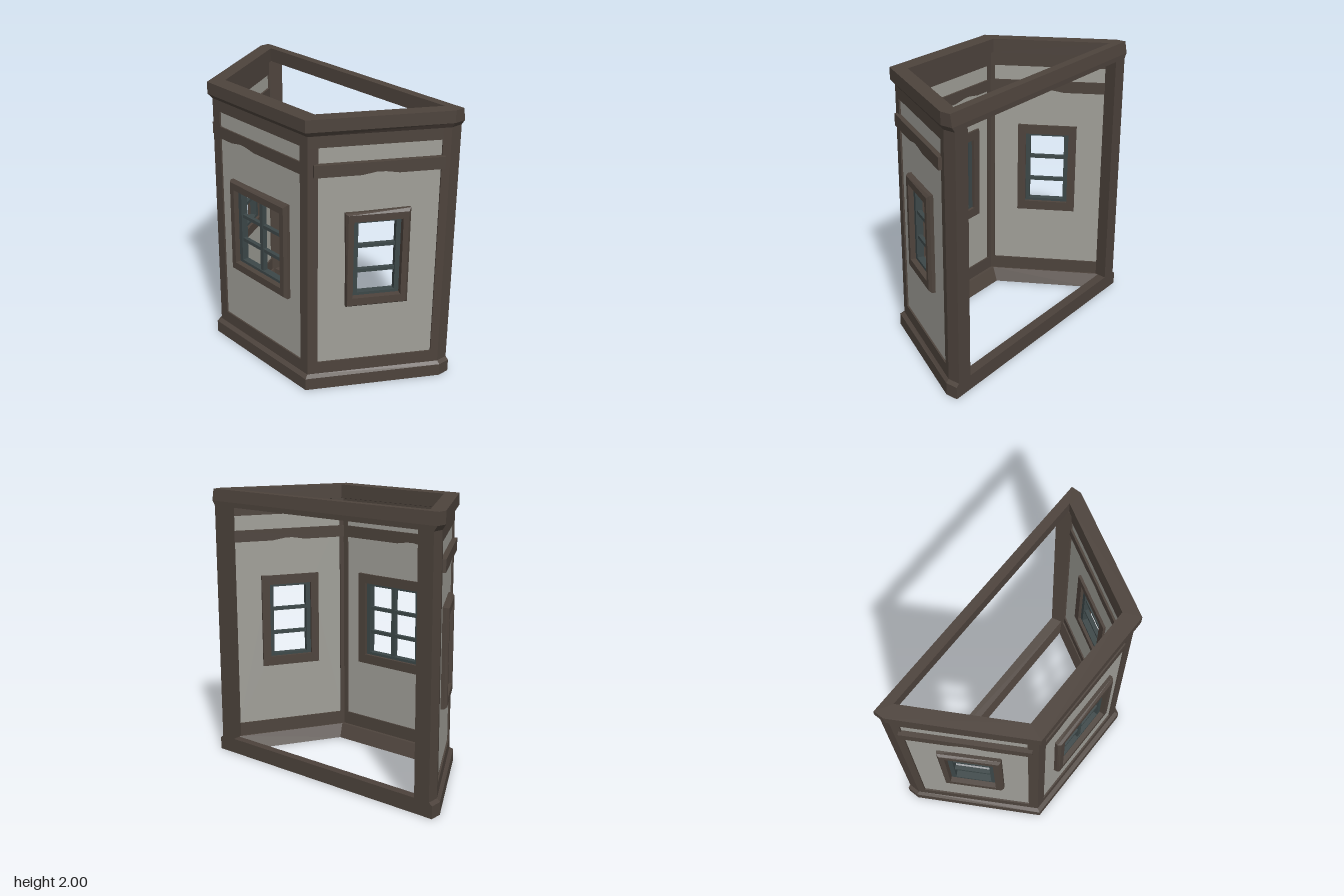
import * as THREE from 'three';

const wood = new THREE.MeshStandardMaterial({ color: 0x4d433c });
wood.name = 'dark wood';
const plaster = new THREE.MeshStandardMaterial({ color: 0xa09f98 });
plaster.name = 'grey plaster';
const teal = new THREE.MeshStandardMaterial({ color: 0x3c4748 });
teal.name = 'window teal';

function add(parent, name, geometry, material) {
  const mesh = new THREE.Mesh(geometry, material);
  mesh.name = name;
  parent.add(mesh);
  return mesh;
}

function box(parent, name, material, w, h, d, x, y, z) {
  add(parent, name, new THREE.BoxGeometry(w, h, d), material).position.set(x, y, z);
}

const toShape = (pts) => new THREE.Shape(pts.map(([x, y]) => new THREE.Vector2(x, y)));

// Extrude a plan outline of [x, z] points from y0 to y1
function prism(pts, y0, y1) {
  const g = new THREE.ExtrudeGeometry(toShape(pts.map(([x, z]) => [x, -z])), { depth: y1 - y0, bevelEnabled: false });
  return g.rotateX(-Math.PI / 2).translate(0, y0, 0);
}

// Extrude a wall outline of [x, y] points from z0 to z1
function slab(shape, z0, z1) {
  return new THREE.ExtrudeGeometry(shape, { depth: z1 - z0, bevelEnabled: false }).translate(0, 0, z0);
}

// Closed band through a cycle of equal-sized loops, faced outwards
function loftRing(loops) {
  const tris = [];
  const n = loops[0].length;
  loops.forEach((a, i) => {
    const b = loops[(i + 1) % loops.length];
    for (let j = 0; j < n; j++) {
      const k = (j + 1) % n;
      tris.push([a[j], a[k], b[k]], [a[j], b[k], b[j]]);
    }
  });
  const v = (p) => new THREE.Vector3(...p);
  const volume = tris.reduce((s, [a, b, c]) => s + v(a).dot(v(b).cross(v(c))), 0);
  if (volume < 0) tris.forEach((t) => t.reverse());
  const g = new THREE.BufferGeometry();
  g.setAttribute('position', new THREE.Float32BufferAttribute(tris.flat(2), 3));
  g.computeVertexNormals();
  return g;
}

// Mirror half a plan outline and lift it to height y
const planLoop = (half, y) => [
  ...half.map(([x, z]) => [x, y, z]),
  ...[...half].reverse().map(([x, z]) => [-x, y, z]),
];

// Rectangle loop in a wall plane
const rectLoop = (hw, y0, y1, z) => [[-hw, y0, z], [hw, y0, z], [hw, y1, z], [-hw, y1, z]];

// One wall: local z = 0 is the outer face, local x runs along the wall
function wall(name, o) {
  const g = new THREE.Group();
  g.name = name;

  // Plaster panel with window opening
  const panel = toShape([[-o.panel, 0.2], [o.panel, 0.2], [o.panel, 1.8], [-o.panel, 1.8]]);
  const e = o.open + 0.01;
  panel.holes.push(new THREE.Path([[-e, 0.7], [-e, 1.28], [e, 1.28], [e, 0.7]].map((p) => new THREE.Vector2(...p))));
  add(g, 'plasterPanel', slab(panel, -0.058, -0.012), plaster);

  // Rail with a worn notch underneath
  const r = o.rail;
  const n = o.notch;
  const rail = toShape([[-r, 1.605], [n - 0.12, 1.605], [n - 0.02, 1.622], [n + 0.04, 1.62], [n + 0.13, 1.605],
    [r, 1.605], [r, 1.69], [-r, 1.69]]);
  add(g, 'upperRail', slab(rail, -0.073, o.railOut), wood);

  // Chamfered window surround, slightly uneven
  const outer = rectLoop(o.trim, 0.635, 1.345, 0.012);
  outer[0][0] += 0.012;
  outer[3][1] -= 0.012;
  const face = rectLoop(o.trim - 0.018, 0.65, 1.325, 0.032);
  add(g, 'windowSurround', loftRing([
    rectLoop(o.open, 0.71, 1.27, -0.078), rectLoop(o.trim, 0.64, 1.34, -0.078),
    outer, face, rectLoop(o.open + 0.005, 0.705, 1.275, 0.032),
  ]), wood);

  // Window frame and glazing bars
  const inner = o.open - 0.033;
  add(g, 'windowFrame', loftRing([
    rectLoop(o.open, 0.71, 1.27, -0.055), rectLoop(o.open, 0.71, 1.27, -0.005),
    rectLoop(inner, 0.73, 1.25, -0.005), rectLoop(inner, 0.73, 1.25, -0.055),
  ]), teal);
  for (const y of [0.89, 1.075]) box(g, 'crossBar', teal, inner * 2, 0.025, 0.03, 0, y, -0.03);
  if (o.mullion) box(g, 'mullion', teal, 0.032, 0.52, 0.036, 0, 0.99, -0.03);
  return g;
}

export function createModel() {
  const model = new THREE.Group();
  model.name = 'bayWindow';

  // Plan outlines, right half from front to back
  const body = [[0.505, 0.44], [0.975, -0.38], [0.975, -0.47]];
  const rim = [[0.52, 0.47], [1, -0.38], [1, -0.47]];
  const rimTop = [[0.52, 0.47], [1, -0.38], [1, -0.455]];
  const narrowInner = [[0.47, 0.35], [0.88, -0.375], [0.89, -0.39]];
  const wideInner = [[0.45, 0.3], [0.82, -0.355], [0.825, -0.36]];

  // Cornice ring, and plinth ring with a sloped inner face
  add(model, 'topRing', loftRing([planLoop(body, 1.88), planLoop(rim, 1.915), planLoop(rimTop, 2),
    planLoop(narrowInner, 2), planLoop(narrowInner, 1.9)]), wood);
  add(model, 'baseRing', loftRing([planLoop(body, 0.11), planLoop(rim, 0.09), planLoop(rim, 0),
    planLoop(wideInner, 0), planLoop(narrowInner, 0.1)]), wood);

  // Sill and head beams around the three walls
  const beam = [[0.975, -0.38], [0.505, 0.44], [-0.505, 0.44], [-0.975, -0.38],
    [-0.886, -0.365], [-0.465, 0.37], [0.465, 0.37], [0.886, -0.365]];
  add(model, 'sillBeam', prism(beam, 0.1, 0.2), wood);
  add(model, 'headBeam', prism(beam, 1.8, 1.9), wood);

  // Posts, mirrored left and right
  const cornerPost = [[0.43, 0.44], [0.505, 0.44], [0.54, 0.379], [0.479, 0.344], [0.465, 0.37], [0.43, 0.37]];
  const backPost = [[0.947, -0.331], [0.975, -0.38], [0.975, -0.47], [0.855, -0.47], [0.886, -0.366]];
  for (const s of [1, -1]) {
    const side = s > 0 ? 'left' : 'right';
    add(model, side + 'CornerPost', prism(cornerPost.map(([x, z]) => [s * x, z]), 0.2, 1.8), wood);
    add(model, side + 'BackPost', prism(backPost.map(([x, z]) => [s * x, z]), 0.1, 1.9), wood);

    // Angled side wall
    const w = wall(side + 'Wall', { panel: 0.42, rail: 0.435, railOut: 0.024, notch: 0, trim: 0.222, open: 0.162 });
    w.position.set(s * 0.74, 0, 0.03);
    w.rotation.y = s * Math.atan2(0.82, 0.47);
    model.add(w);
  }

  // Front wall
  const front = wall('frontWall', { panel: 0.435, rail: 0.43, railOut: 0, notch: -0.18,
    trim: 0.31, open: 0.247, mullion: true });
  front.position.z = 0.44;
  model.add(front);
  return model;
}
